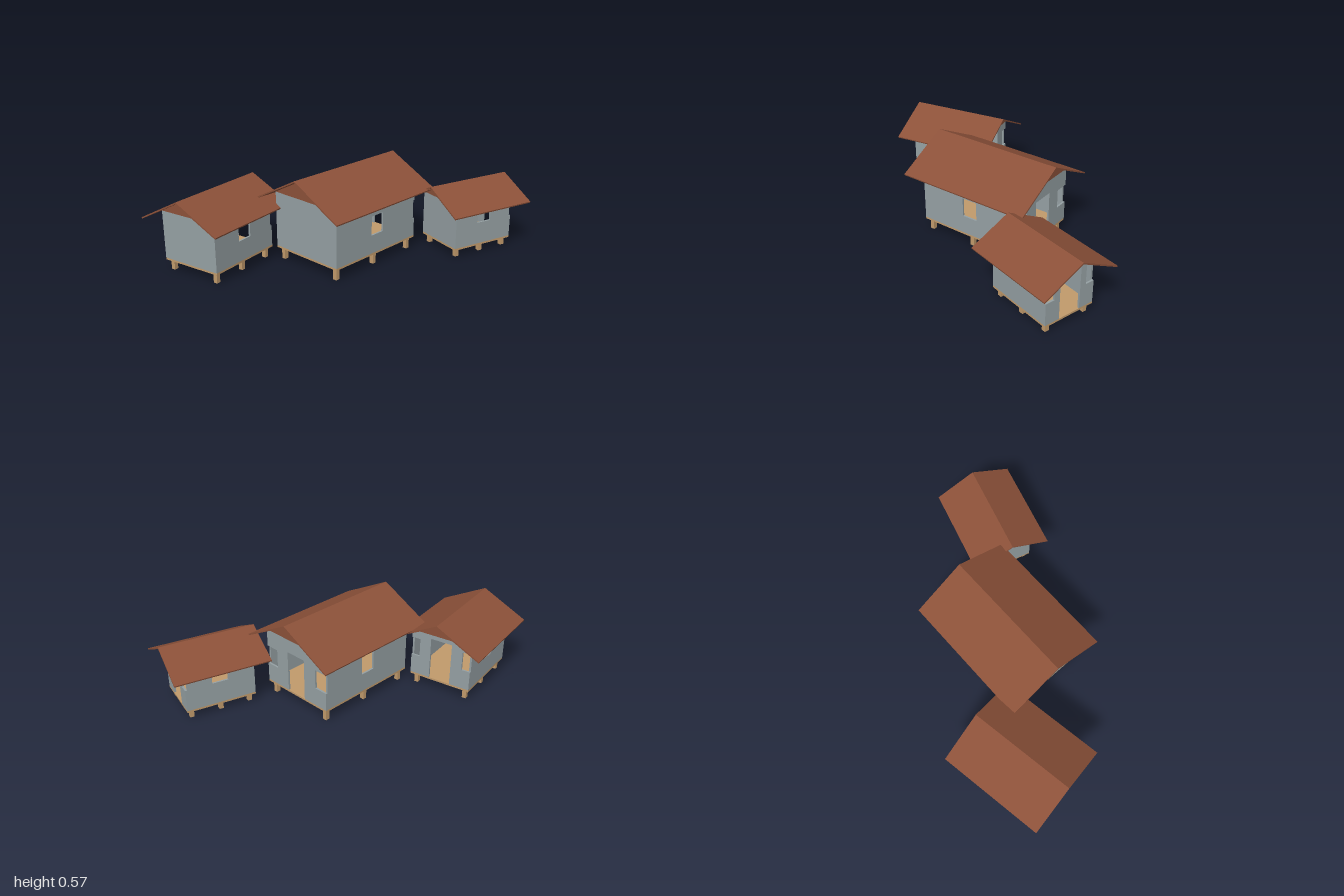
import * as THREE from 'three';

const T = 0.012; // wall thickness
const SILL = 0.2, HEAD = 0.32; // window heights
const DOOR = 0.07, WIN = 0.05; // half widths

const wallMat = new THREE.MeshStandardMaterial({ color: 0x95a0a3, name: 'greyWall' });
const roofMat = new THREE.MeshStandardMaterial({ color: 0x8c5139, name: 'redBrownRoof' });
const woodMat = new THREE.MeshStandardMaterial({ color: 0xc19a6b, name: 'paleWood' });

const shapeOf = (pts) => new THREE.Shape(pts.map(([a, b]) => new THREE.Vector2(a, b)));
const rect = (x0, x1, y0, y1) => [[x0, y0], [x1, y0], [x1, y1], [x0, y1]];

function add(parent, name, geometry, material) {
  const mesh = new THREE.Mesh(geometry, material);
  mesh.name = name;
  parent.add(mesh);
  return mesh;
}

// Extrude a (z, y) outline along x from x0 to x1
function alongX(points, x0, x1) {
  const g = new THREE.ExtrudeGeometry(shapeOf(points), { depth: x1 - x0, bevelEnabled: false });
  return g.rotateY(-Math.PI / 2).translate(x1, 0, 0);
}

function createHouse(name, h) {
  const house = new THREE.Group();
  house.name = name;
  const hx = h.length / 2, hz = h.width / 2;
  const rx = h.roofLength / 2, rz = h.roofWidth / 2;

  // Stilts: two rows of three
  for (const i of [-1, 0, 1]) for (const j of [-1, 1]) {
    add(house, 'stilt', new THREE.BoxGeometry(0.026, h.base, 0.026), woodMat)
      .position.set(i * (hx - 0.032), h.base / 2, j * (hz - 0.033));
  }

  // Floor deck
  add(house, 'floor', new THREE.BoxGeometry(h.length, h.floor - h.base, h.width), woodMat)
    .position.y = (h.base + h.floor) / 2;

  // Long walls with a central window
  for (const [wallName, z] of [['frontWall', hz - T], ['backWall', -hz]]) {
    const s = shapeOf(rect(-hx + T, hx - T, h.floor, h.top));
    s.holes.push(new THREE.Path(rect(-WIN, WIN, SILL, HEAD).reverse().map((p) => new THREE.Vector2(...p))));
    const g = new THREE.ExtrudeGeometry(s, { depth: T, bevelEnabled: false });
    add(house, wallName, g.translate(0, 0, z), wallMat);
  }

  // Closed end wall
  add(house, 'closedEndWall', alongX(rect(-hz, hz, h.floor, h.top), -hx, -hx + T), wallMat);

  // Entrance wall: doorway in the middle, window openings running out to the corners
  for (const s of [-1, 1]) {
    const outline = [[DOOR, h.floor], [hz, h.floor], [hz, SILL], [h.winEdge, SILL],
      [h.winEdge, HEAD], [hz, HEAD], [hz, h.top], [DOOR, h.top]].map(([z, y]) => [s * z, y]);
    add(house, 'entranceWall', alongX(outline, hx - T, hx), wallMat);
  }
  if (h.top > h.doorTop) {
    add(house, 'doorLintel', alongX(rect(-DOOR, DOOR, h.doorTop, h.top), hx - T, hx), wallMat);
  }

  // Gable triangles
  const slope = (h.ridge - 0.01 - h.eave) / rz;
  const peak = h.ridge - 0.01;
  const gable = [[-hz, h.top], [hz, h.top], [hz, peak - slope * hz], [0, peak], [-hz, peak - slope * hz]];
  for (const x of [-hx, hx - T]) add(house, 'gable', alongX(gable, x, x + T), roofMat);

  // Roof slopes
  for (const s of [-1, 1]) {
    const panel = [[0, peak], [s * rz, h.eave], [s * (rz + 0.002), h.eave + 0.008], [0, h.ridge]];
    add(house, 'roofSlope', alongX(panel, -rx, rx), roofMat);
  }

  house.position.set(h.x, 0, h.z);
  house.rotation.y = h.turn;
  return house;
}

export function createModel() {
  const model = new THREE.Group();
  model.name = 'stiltHouses';
  model.add(
    createHouse('mainHouse', {
      x: 0, z: 0.005, turn: 0, length: 0.695, width: 0.5, roofLength: 0.857, roofWidth: 0.663,
      base: 0.073, floor: 0.085, top: 0.43, doorTop: 0.345, winEdge: 0.163, eave: 0.388, ridge: 0.57,
    }),
    createHouse('backHouse', {
      x: -0.628, z: -0.445, turn: 0.173, length: 0.495, width: 0.4, roofLength: 0.655, roofWidth: 0.565,
      base: 0.063, floor: 0.075, top: 0.371, doorTop: 0.345, winEdge: 0.143, eave: 0.329, ridge: 0.484,
    }),
    createHouse('frontHouse', {
      x: 0.642, z: 0.446, turn: -0.275, length: 0.43, width: 0.33, roofLength: 0.59, roofWidth: 0.493,
      base: 0.05, floor: 0.062, top: 0.335, doorTop: 0.335, winEdge: 0.108, eave: 0.293, ridge: 0.427,
    }),
  );
  return model;
}
